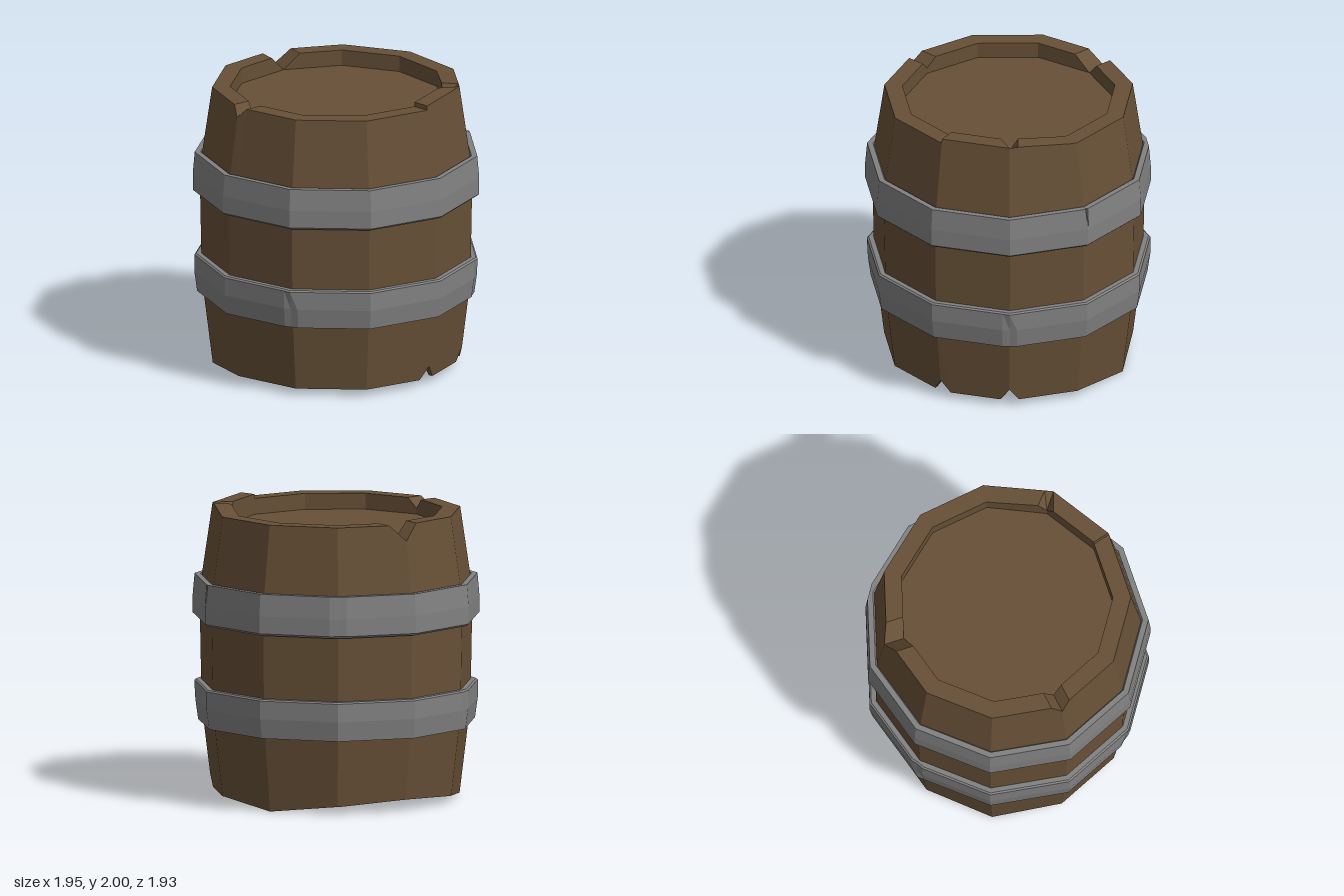
import * as THREE from 'three';

const SIDES = 11;
const corner = (k, r) => {
  const a = (k * 2 * Math.PI) / SIDES; // corner 0 is at the back, counting towards +x
  return new THREE.Vector3(Math.sin(a) * r, 0, -Math.cos(a) * r);
};

// Three points at one corner: a little before it, on it, a little after it
function cornerPoints(k, ring) {
  const c = corner(k, ring.r);
  const d = ring.d ? ring.d(k) : 0.05;
  return [-1, 0, 1].map((t) => {
    const p = c.clone();
    if (t) p.addScaledVector(corner(k + t, ring.r).sub(c).normalize(), d);
    const dy = ring.dy ? ring.dy(k, t) : 0;
    const dr = ring.dr ? ring.dr(k, t, dy) : 0;
    p.multiplyScalar(1 + dr / ring.r);
    p.y = ring.y + dy;
    return p;
  });
}

// Joins rings, listed from bottom to top along the outside, into a faceted skin
function loft(rings) {
  const rows = rings.map((ring) => {
    const row = [];
    for (let k = 0; k < SIDES; k++) row.push(...cornerPoints(k, ring));
    return row;
  });
  const pos = [];
  const n = SIDES * 3;
  for (let i = 0; i < rows.length - 1; i++) {
    for (let j = 0; j < n; j++) {
      const m = (j + 1) % n;
      const a = rows[i][j], b = rows[i][m], c = rows[i + 1][m], d = rows[i + 1][j];
      for (const p of [a, d, c, a, c, b]) pos.push(p.x, p.y, p.z);
    }
  }
  const g = new THREE.BufferGeometry();
  g.setAttribute('position', new THREE.Float32BufferAttribute(pos, 3));
  g.computeVertexNormals();
  return g;
}

// Chips and uneven planks of the top rim
function topOffset(k, t) {
  if (k === 0 && t === 0) return -0.11;
  if (k === 8 && t === 0) return -0.07;
  if (k === 4 || (k === 5 && t < 1)) return 0.03;
  return 0;
}
const topInnerOffset = (k, t) => (k === 4 && t === 0 ? -0.05 : topOffset(k, t));
const topWidth = (k) => ({ 0: 0.115, 8: 0.07, 4: 0.06, 5: 0.004 })[k] ?? 0.05;

// Chips and long planks of the bottom rim
function bottomOffset(k, t) {
  if ((k === 4 || k === 5) && t === 0) return 0.09;
  if (k === 2 || k === 9) return -0.05;
  return k === 0 ? 0.03 : 0;
}
const bottomWidth = (k) => (k === 4 || k === 5 ? 0.065 : 0.01);

export function createModel() {
  const wood = new THREE.MeshStandardMaterial({ color: 0x675037 });
  wood.name = 'brownWood';
  wood.flatShading = true;
  const iron = new THREE.MeshStandardMaterial({ color: 0x818181 });
  iron.name = 'greyIron';
  iron.flatShading = true;

  const barrel = new THREE.Group();
  barrel.name = 'barrel';
  const add = (name, geometry, material) => {
    const mesh = new THREE.Mesh(geometry, material);
    mesh.name = name;
    mesh.position.z = 0.02;
    barrel.add(mesh);
    return mesh;
  };

  // Staves with both rims; chipped rim points stay on the sloping outside
  add('staves', loft([
    { r: 0.82, y: 0.17, d: bottomWidth },
    { r: 0.82, y: 0.05, d: bottomWidth, dy: bottomOffset },
    { r: 0.855, y: 0.05, d: bottomWidth, dy: bottomOffset, dr: (k, t, dy) => dy * 0.12 },
    { r: 0.912, y: 0.515, d: bottomWidth },
    { r: 0.927, y: 0.79 },
    { r: 0.935, y: 1.22 },
    { r: 0.921, y: 1.51, d: topWidth },
    { r: 0.853, y: 1.97, d: topWidth, dy: topOffset, dr: (k, t, dy) => dy * -0.15 },
    { r: 0.73, y: 1.97, d: topWidth, dy: topInnerOffset },
    { r: 0.73, y: 1.85, d: topWidth },
  ]), wood);

  // Sunken lids
  for (const [name, r, y] of [['topLid', 0.735, 1.85], ['bottomLid', 0.825, 0.18]]) {
    const g = new THREE.CylinderGeometry(r, r, 0.02, SIDES);
    g.rotateY(Math.PI);
    add(name, g, wood).position.y = y;
  }

  // Hoops, with hammered corners
  const dent = (corners) => (k, t) => (t === 0 && corners.includes(k) ? -0.018 : 0);
  const hoopWidth = (k) => (k === 3 ? 0.008 : 0.06);
  add('upperHoop', loft([
    { r: 0.91, y: 1.225, d: hoopWidth },
    { r: 0.968, y: 1.225, d: hoopWidth, dr: dent([1]) },
    { r: 0.985, y: 1.24, d: hoopWidth, dr: dent([1]) },
    { r: 0.985, y: 1.36, d: hoopWidth, dr: dent([1]) },
    { r: 0.972, y: 1.51, d: hoopWidth, dr: dent([1, 3]) },
    { r: 0.932, y: 1.51, d: hoopWidth },
    { r: 0.91, y: 1.47, d: hoopWidth },
  ]), iron);
  add('lowerHoop', loft([
    { r: 0.9, y: 0.515 },
    { r: 0.955, y: 0.515, dr: dent([4, 7]) },
    { r: 0.974, y: 0.65, dr: dent([4, 7, 10]) },
    { r: 0.974, y: 0.775, dr: dent([10]) },
    { r: 0.962, y: 0.785, dr: dent([10]) },
    { r: 0.9, y: 0.785 },
  ]), iron);

  return barrel;
}
